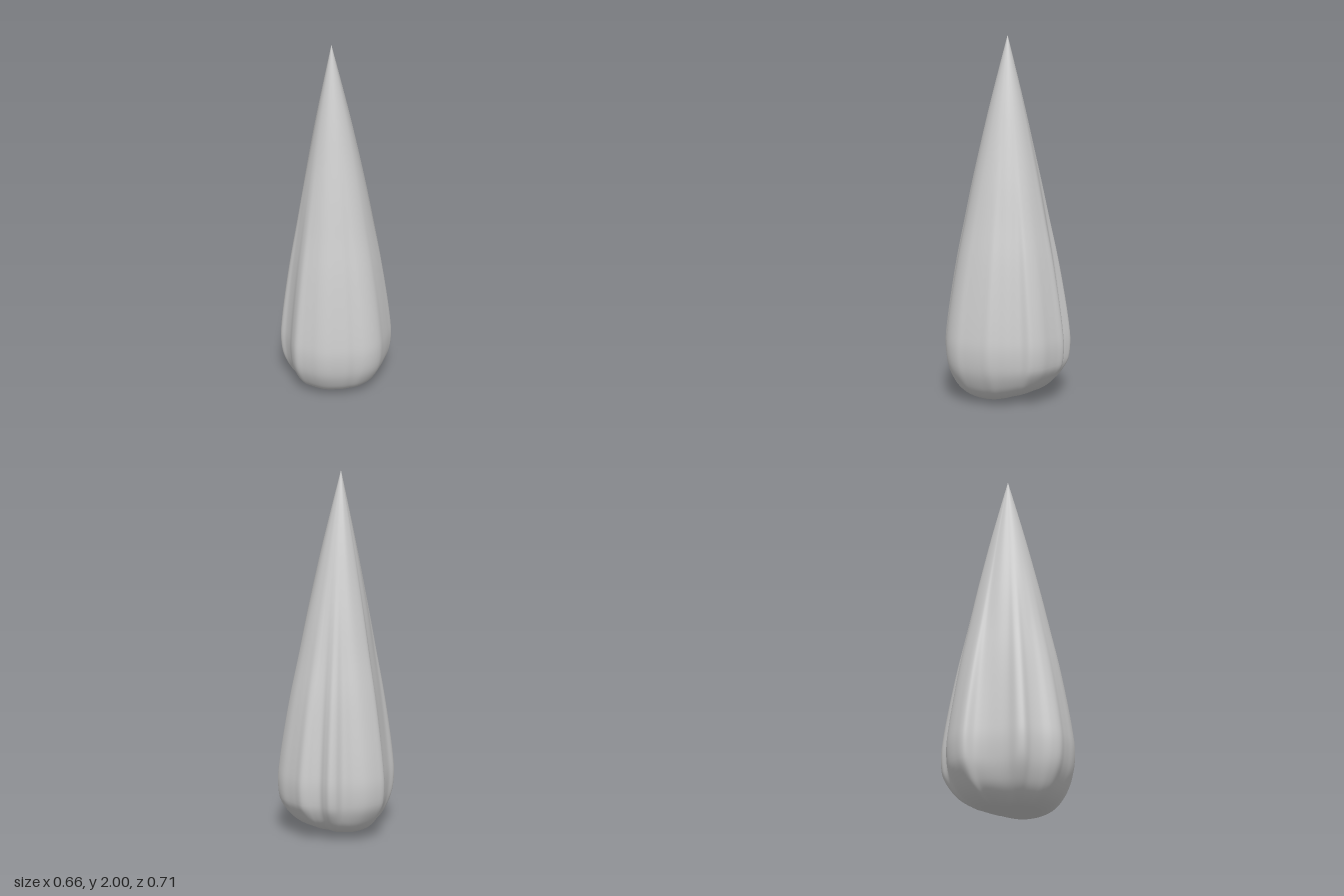
import * as THREE from 'three';

const SEG = 288, ROWS = 110, TIP_X = -0.02;

// Widest wavy outline as x, z pairs
const OUTLINE = [
  .328, -.024, .326, .03, .317, .12, .31, .17, .283, .22, .24, .26, .19, .28, .155, .303,
  .105, .322, .05, .345, 0, .35, -.05, .343, -.092, .337, -.135, .331, -.167, .3, -.195, .253,
  -.232, .212, -.266, .19, -.279, .155, -.272, .103, -.275, .047, -.283, -.019, -.296, -.066,
  -.328, -.118, -.309, -.172, -.266, -.232, -.213, -.264, -.157, -.283, -.129, -.328,
  -.101, -.345, -.067, -.333, -.036, -.32, .002, -.333, .03, -.35, .06, -.356, .105, -.335,
  .148, -.315, .199, -.292, .236, -.262, .257, -.234, .26, -.182, .292, -.122, .309, -.066,
];

// Vertical profile as (share of full width, height)
const PROFILE = [
  [0, 0], [.25, .002], [.45, .006], [.6, .022], [.74, .055], [.86, .11], [.965, .2], [1, .31],
  [.975, .42], [.9, .6], [.8, .8], [.68, 1], [.56, 1.2], [.43, 1.4], [.295, 1.6], [.15, 1.8], [0, 2],
];

// Outline samples relative to the tip, plus a smoothed copy without the folds
function makeOutlines() {
  const pts = [];
  for (let i = 0; i < OUTLINE.length; i += 2) {
    pts.push(new THREE.Vector3(OUTLINE[i] - TIP_X, 0, OUTLINE[i + 1]));
  }
  const wavy = new THREE.CatmullRomCurve3(pts, true).getSpacedPoints(SEG).slice(0, SEG);
  const smooth = wavy.map((p, i) => {
    let r = 0;
    for (let k = -24; k <= 24; k++) r += wavy[(i + k + SEG) % SEG].length() / 49;
    return p.clone().setLength(r);
  });
  return { wavy, smooth };
}

// How far the underside is raised beneath the bulging lobes
function lobeLift(dir) {
  const back = Math.max(0, dir.x * .35 - dir.z * .94) ** 2;
  const side = Math.max(0, -dir.x * .93 - dir.z * .37) ** 4;
  return .075 * back + .04 * side;
}

function foldedDrop() {
  const { wavy, smooth } = makeOutlines();
  const profile = new THREE.SplineCurve(PROFILE.map(([r, y]) => new THREE.Vector2(r, y)));
  const pos = [], index = [];
  const p = new THREE.Vector3();
  for (let j = 0; j <= ROWS; j++) {
    const { x, y: h } = profile.getPointAt(j / ROWS);
    const ratio = Math.max(0, x), y = THREE.MathUtils.clamp(h, 0, 2);
    // Folds are strongest at the belly and fade towards tip and base
    const fold = y < .3
      ? .45 + .55 * THREE.MathUtils.smoothstep(y, 0, .25)
      : 1 - .95 * THREE.MathUtils.smoothstep(y, .3, 1.6);
    for (let i = 0; i < SEG; i++) {
      p.lerpVectors(smooth[i], wavy[i], fold);
      const lift = lobeLift(p.clone().normalize()) * ratio * Math.max(0, 1 - y / .22);
      pos.push(TIP_X + p.x * ratio, y + lift, p.z * ratio);
      if (j < ROWS) {
        const a = j * SEG + i, b = j * SEG + (i + 1) % SEG;
        index.push(a, a + SEG, b, b, a + SEG, b + SEG);
      }
    }
  }
  const geo = new THREE.BufferGeometry();
  geo.setAttribute('position', new THREE.Float32BufferAttribute(pos, 3));
  geo.setIndex(index);
  geo.computeVertexNormals();
  return geo;
}

export function createModel() {
  const group = new THREE.Group();
  const body = new THREE.Mesh(
    foldedDrop(),
    new THREE.MeshStandardMaterial({ color: 0xcccccc }),
  );
  body.name = 'foldedDropBody';
  group.add(body);
  return group;
}
